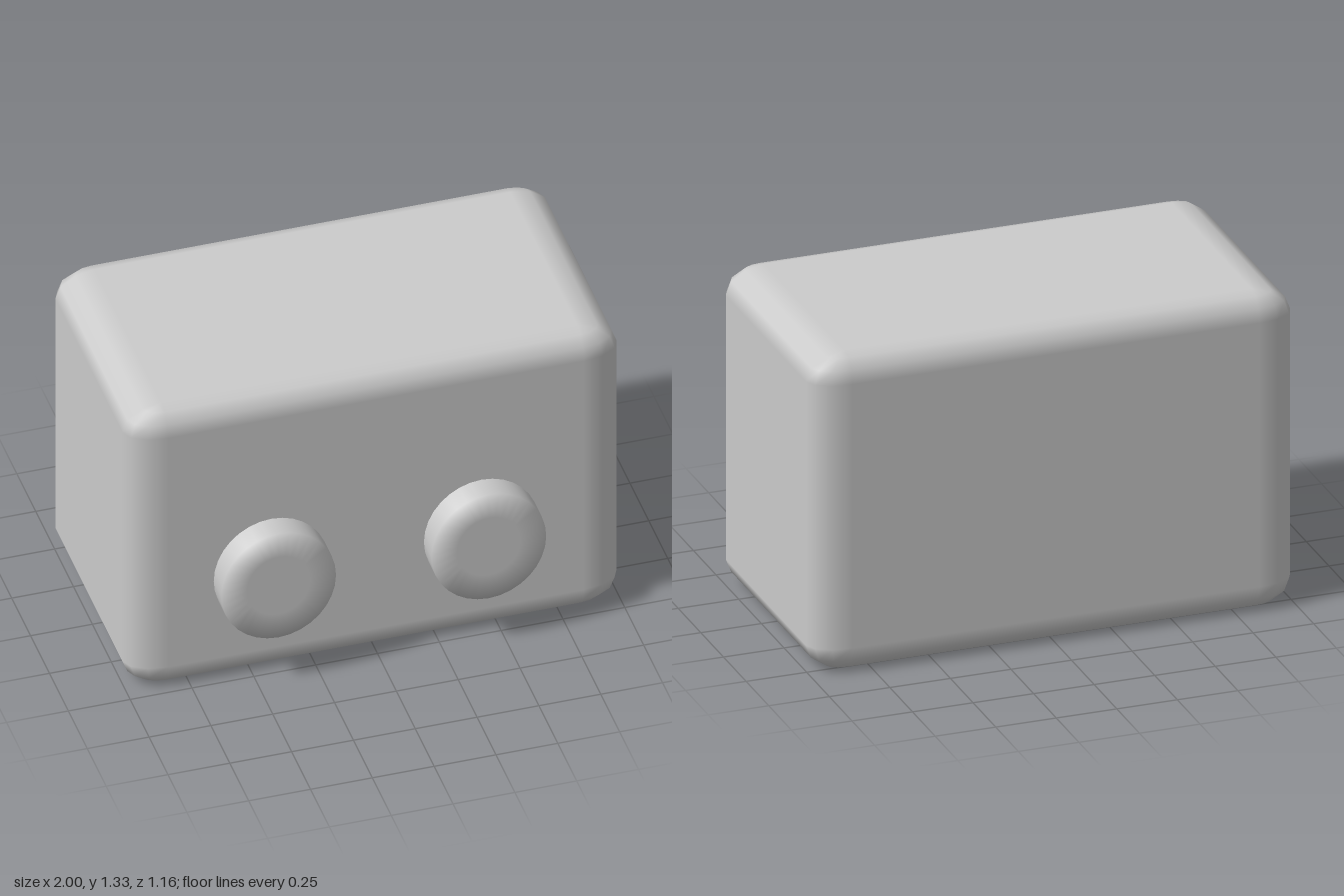
import * as THREE from 'three';

// Box with elliptical bevels: a coarse ellipsoid whose octants are pushed apart.
// half and r hold the half sizes and the bevel radii along x, y and z.
function bevelledBox(half, r, steps) {
  const angles = [];
  for (let q = 0; q < 4; q++) {
    for (let s = 0; s <= steps; s++) angles.push({ q, a: (q + s / steps) * Math.PI / 2 });
  }
  const cols = [...angles, angles[0]];
  const core = half.map((h, k) => h - r[k]);
  const positions = [], normals = [], indices = [];
  const signX = [1, -1, -1, 1], signZ = [-1, -1, 1, 1];

  // Rings from the bottom centre, up both bevels, to the top centre
  const rings = [{ cap: -1 }];
  for (const side of [-1, 1]) {
    for (let s = 0; s <= steps; s++) {
      const t = (side < 0 ? s - steps : s) / steps;
      rings.push({ side, lat: t * Math.PI / 2 });
    }
  }
  rings.push({ cap: 1 });

  for (const ring of rings) {
    for (const { q, a } of cols) {
      if (ring.cap) {
        positions.push(0, ring.cap * half[1], 0);
        normals.push(0, ring.cap, 0);
        continue;
      }
      const c = Math.cos(ring.lat);
      const d = [c * Math.cos(a), Math.sin(ring.lat), -c * Math.sin(a)];
      const s = [signX[q], ring.side, signZ[q]];
      positions.push(...d.map((v, k) => s[k] * core[k] + v * r[k]));
      normals.push(...new THREE.Vector3(d[0] / r[0], d[1] / r[1], d[2] / r[2]).normalize().toArray());
    }
  }
  const n = cols.length;
  for (let i = 0; i < rings.length - 1; i++) {
    for (let j = 0; j < n - 1; j++) {
      const a = i * n + j, b = a + 1, c = b + n, d = a + n;
      indices.push(a, b, c, a, c, d);
    }
  }
  const geometry = new THREE.BufferGeometry();
  geometry.setAttribute('position', new THREE.Float32BufferAttribute(positions, 3));
  geometry.setAttribute('normal', new THREE.Float32BufferAttribute(normals, 3));
  geometry.setIndex(indices);
  return geometry;
}

export function createModel() {
  const model = new THREE.Group();
  const material = new THREE.MeshStandardMaterial({ color: 0xcccccc });

  // Main casing
  const body = new THREE.Mesh(bevelledBox([1, 0.667, 0.532], [0.16, 0.11, 0.09], 3), material);
  body.name = 'body';
  body.position.set(0, 0.667, -0.049);
  model.add(body);

  // Two slightly oval knobs with softly shaded rims
  const profile = [[1, 0.42], [1, 0.583], [0.55, 0.583], [0, 0.583]];
  const knobGeometry = new THREE.LatheGeometry(profile.map(([x, y]) => new THREE.Vector2(x, y)), 32);
  knobGeometry.rotateX(Math.PI / 2);
  for (const side of [-1, 1]) {
    const knob = new THREE.Mesh(knobGeometry, material);
    knob.name = side > 0 ? 'leftKnob' : 'rightKnob';
    knob.position.set(side * 0.425, 0.487, 0);
    knob.scale.set(0.232, 0.252, 1);
    model.add(knob);
  }
  return model;
}
